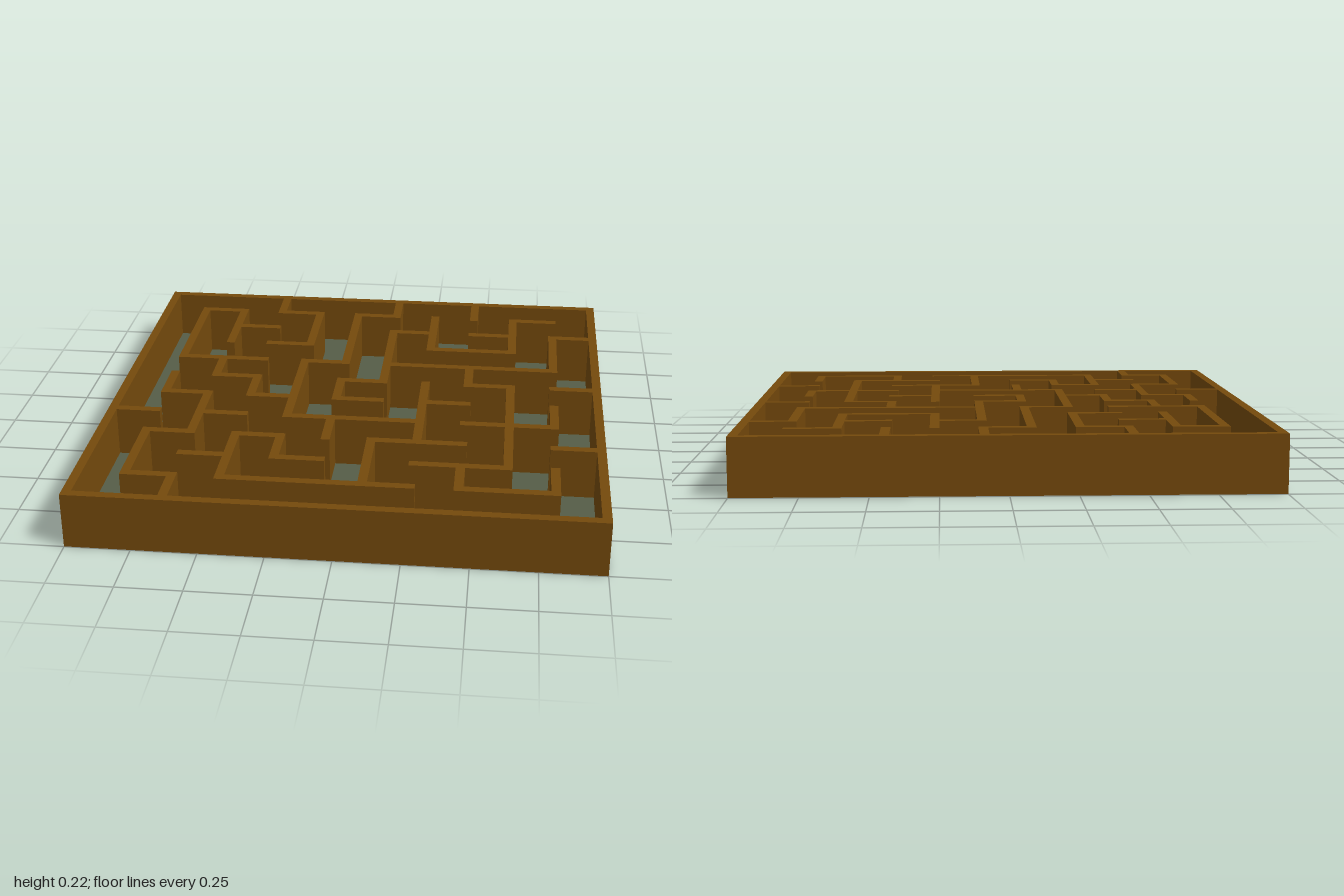
import * as THREE from 'three';

const CELLS = 11;
const PITCH = 2 / 11.2;      // cell size
const WALL = PITCH * 0.2;    // wall thickness
const HEIGHT = 0.22;
const FLOOR = 0.02;

// Inner walls on the cell lattice: each row is a grid line, each pair a run from one node to another.
const ALONG_X = {
  1: [[1, 2], [3, 4], [5, 6], [9, 10]],
  2: [[2, 3], [6, 7], [8, 9], [10, 11]],
  3: [[3, 4], [7, 9]],
  4: [[1, 3], [4, 5], [6, 10]],
  5: [[2, 3], [5, 6], [8, 9], [10, 11]],
  6: [[1, 2], [3, 4], [5, 6], [7, 8]],
  7: [[0, 1], [2, 3], [4, 7], [8, 10]],
  8: [[1, 2], [3, 4], [6, 8], [10, 11]],
  9: [[2, 3], [4, 5], [7, 9]],
  10: [[1, 2], [3, 7], [8, 10]],
};
const ALONG_Z = {
  1: [[1, 4], [5, 6], [8, 10]],
  2: [[1, 3], [4, 5], [6, 8], [10, 11]],
  3: [[0, 1], [5, 6], [8, 10]],
  4: [[1, 3], [4, 7], [8, 9]],
  5: [[1, 4], [5, 6], [7, 8]],
  6: [[0, 1], [2, 5], [8, 10]],
  7: [[1, 3], [5, 8]],
  8: [[0, 1], [4, 5], [9, 10]],
  9: [[1, 3], [5, 9]],
  10: [[2, 4], [6, 7], [9, 10]],
};

const node = (i) => (i - CELLS / 2) * PITCH;

export function createModel() {
  const model = new THREE.Group();
  model.name = 'maze';
  const wood = new THREE.MeshStandardMaterial({ color: 0x74490c });
  const green = new THREE.MeshStandardMaterial({ color: 0x555d47 });

  // Floor slab, reaching to the middle of the outer walls
  const floor = new THREE.Mesh(new THREE.BoxGeometry(CELLS * PITCH, FLOOR, CELLS * PITCH), green);
  floor.name = 'floor';
  floor.position.y = FLOOR / 2;
  model.add(floor);

  // Outer frame: a square with a square hole
  const square = (Type, r) => new Type([[-r, -r], [r, -r], [r, r], [-r, r]].map(([x, y]) => new THREE.Vector2(x, y)));
  const outline = square(THREE.Shape, 1);
  outline.holes.push(square(THREE.Path, 1 - WALL));
  const lift = 0.001; // keeps the frame's underside clear of the floor's
  const frameGeometry = new THREE.ExtrudeGeometry(outline, { depth: HEIGHT - lift, bevelEnabled: false });
  frameGeometry.rotateX(-Math.PI / 2);
  const frame = new THREE.Mesh(frameGeometry, wood);
  frame.name = 'outerWall';
  frame.position.y = lift;
  model.add(frame);

  // Inner walls, each run capped by half a thickness so corners close
  const walls = new THREE.Group();
  walls.name = 'innerWalls';
  const addWalls = (table, alongX) => {
    for (const [line, runs] of Object.entries(table)) {
      for (const [a, b] of runs) {
        // Runs that meet the frame stop at its inner face
        const start = node(a) + (a === 0 ? WALL / 2 : -WALL / 2);
        const end = node(b) + (b === CELLS ? -WALL / 2 : WALL / 2);
        const length = end - start, middle = (start + end) / 2, h = HEIGHT - FLOOR;
        const wall = new THREE.Mesh(new THREE.BoxGeometry(alongX ? length : WALL, h, alongX ? WALL : length), wood);
        wall.name = alongX ? 'crossWall' : 'lengthWall';
        const offset = node(Number(line));
        wall.position.set(alongX ? middle : offset, FLOOR + h / 2, alongX ? offset : middle);
        walls.add(wall);
      }
    }
  };
  addWalls(ALONG_X, true);
  addWalls(ALONG_Z, false);
  model.add(walls);
  return model;
}
